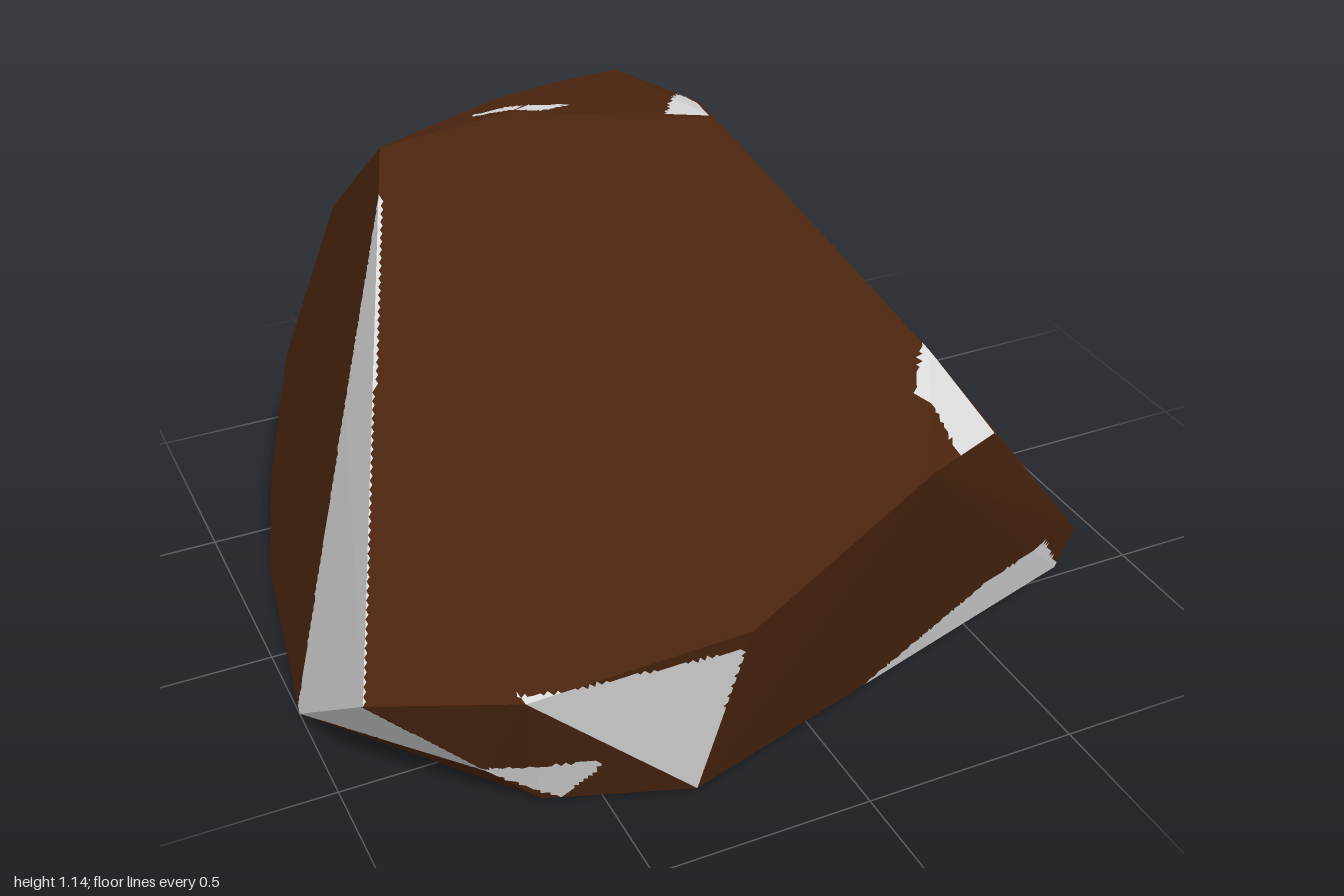
import * as THREE from 'three';
import { ConvexGeometry } from 'three/addons/geometries/ConvexGeometry.js';

const V = (x, y, z) => new THREE.Vector3(x, y, z);

// Corners of the boulder: each flat cut solves its third coordinate from its plane
function rockPoints() {
  const topCut = [[-.96, .61], [-.68, .79], [-.25, .93], [.17, .89], [.27, .69], [.11, .02],
    [-.26, -.27], [-.54, -.38]].map(([x, z]) => V(x, 1.096 + .493 * x - .53 * z, z));
  const sideCut = [[.69, .79], [.12, .49], [.03, -.2], [.09, -.44], [.25, -.58], [.47, -.72],
    [.75, -.65], [.97, -.43], [1.07, -.2]].map(([y, z]) => V(.994 - .774 * y - .102 * z, y, z));
  const leftCut = [[.78, -.63], [.36, -.7], [.13, -.55]]
    .map(([y, z]) => V(-.964 + .345 * y - .163 * z, y, z));
  const base = [[-.31, .81], [.82, .47], [.97, 0], [.66, -.6], [0, -.86], [-.41, -.72],
    [-.91, -.33], [-1, .22], [-.62, .7]].map(([x, z]) => V(x, 0, z));

  // Rounded back: rows of height, depth and x range, each bowed forward at its ends
  const back = [[.09, .94, -.55, .5], [.3, .92, -.5, .72], [.52, .88, -.5, .5], [.73, .8, -.35, .42],
    [.92, .66, -.45, .2], [1.08, .46, -.25, .08]].flatMap(([y, depth, x0, x1]) =>
    [0, 1, 2, 3].map(i => {
      const x = x0 + (x1 - x0) * i / 3;
      return V(x, y, .4 * (x - .08) ** 2 - depth);
    }));
  return [...topCut, ...sideCut, ...leftCut, ...base, ...back, V(-.74, .11, .68)];
}

// Pale patches: outlines projected onto the facets that face one direction
function patchSet(right, up, minFacing, ...outlines) {
  return { right, up, toward: right.clone().cross(up), minFacing, outlines };
}
const above = patchSet(V(1, 0, 0), V(0, 0, -1), .05,
  [[-1.02, -.22], [-.97, -.64], [-.565, .3]],
  [[.7, .13], [.97, -.15], [.94, -.27]],
  [[.03, .07], [.11, .01], [.26, .45]],
  [[.22, .4], [.5, .6], [.5, .7], [.33, .74]],
  [[-.2, .88], [0, .79], [.58, .78], [.5, .86]],
  [[-.55, .38], [-.54, .56], [-.33, .74]],
  [[-.37, .38], [-.12, .25], [-.2, .24]],
  [[.27, -.66], [.21, -.74], [.27, -.87], [.42, -.81]]);
const front = patchSet(V(1, 0, 0), V(0, 1, 0), .1,
  [[-.69, .35], [-.26, .43], [-.31, 0]],
  [[-.75, .11], [-.5, .13], [-.58, 0]],
  [[-.97, .3], [-.73, .1], [-1, 0]],
  [[.17, 0], [.53, .13], [.73, .15], [.83, 0]]);
const rightSide = patchSet(V(0, 0, -1), V(0, 1, 0), .1,
  [[.43, .09], [.7, .45], [.5, .15]],
  [[.62, .38], [.76, .38], [.65, .1]],
  [[.72, .46], [.82, .55], [.88, .38]]);
const backLeft = patchSet(V(-.819, 0, .574), V(.235, .912, .336), .05,
  [[-.93, .37], [-.47, .42], [-.37, .18], [.16, .11], [.18, -.08], [-.46, .04]],
  [[-.2, .15], [-.16, .36], [-.06, .14]],
  [[.18, -.1], [.35, -.32], [-.11, -.35], [.08, -.21]]);
const underside = patchSet(V(1, 0, 0), V(0, 0, 1), .9,
  [[.66, -.6], [0, -.87], [-.41, -.73], [-.31, .82], [.165, -.26], [.79, 0]]);
const patches = [above, front, rightSide, backLeft, underside];

function inside(outline, px, py) {
  let hit = false;
  outline.forEach(([ax, ay], i) => {
    const [bx, by] = outline[(i + 1) % outline.length];
    if ((ay > py) !== (by > py) && px < (bx - ax) * (py - ay) / (by - ay) + ax) hit = !hit;
  });
  return hit;
}
const isPale = (p, normal) => patches.some(s => normal.dot(s.toward) > s.minFacing &&
  s.outlines.some(o => inside(o, p.dot(s.right), p.dot(s.up))));

function facetMesh(points, name, material) {
  const geometry = new THREE.BufferGeometry().setFromPoints(points);
  geometry.computeVertexNormals();
  const mesh = new THREE.Mesh(geometry, material);
  mesh.name = name;
  return mesh;
}

export function createModel() {
  const brown = new THREE.MeshStandardMaterial({ color: 0x4b250f });
  brown.name = 'brown stone';
  const pale = new THREE.MeshStandardMaterial({ color: 0xdcdcdc });
  pale.name = 'pale stone';

  const hull = new ConvexGeometry(rockPoints()).getAttribute('position');
  const brownPoints = [], palePoints = [];

  // Halve a facet along its longest edge until it lies on one side of a patch outline
  function sortFacet(a, b, c, normal) {
    const mid = a.clone().add(b).add(c).divideScalar(3);
    const lengths = [a.distanceTo(b), b.distanceTo(c), c.distanceTo(a)];
    const longest = Math.max(...lengths);
    const tone = isPale(mid, normal);
    const mixed = [a, b, c].some(p => isPale(p.clone().lerp(mid, .05), normal) !== tone);
    if (longest > .1 || (mixed && longest > .018)) {
      const k = lengths.indexOf(longest);
      const [p, q, r] = [[a, b, c], [b, c, a], [c, a, b]][k];
      const half = p.clone().lerp(q, .5);
      sortFacet(p, half, r, normal);
      sortFacet(half, q, r, normal);
    } else {
      (tone ? palePoints : brownPoints).push(a, b, c);
    }
  }
  for (let i = 0; i < hull.count; i += 3) {
    const [a, b, c] = [0, 1, 2].map(k => V(0, 0, 0).fromBufferAttribute(hull, i + k));
    sortFacet(a, b, c, b.clone().sub(a).cross(c.clone().sub(a)).normalize());
  }

  const boulder = new THREE.Group();
  boulder.name = 'boulder';
  boulder.add(facetMesh(brownPoints, 'stoneBody', brown), facetMesh(palePoints, 'palePatches', pale));
  return boulder;
}
